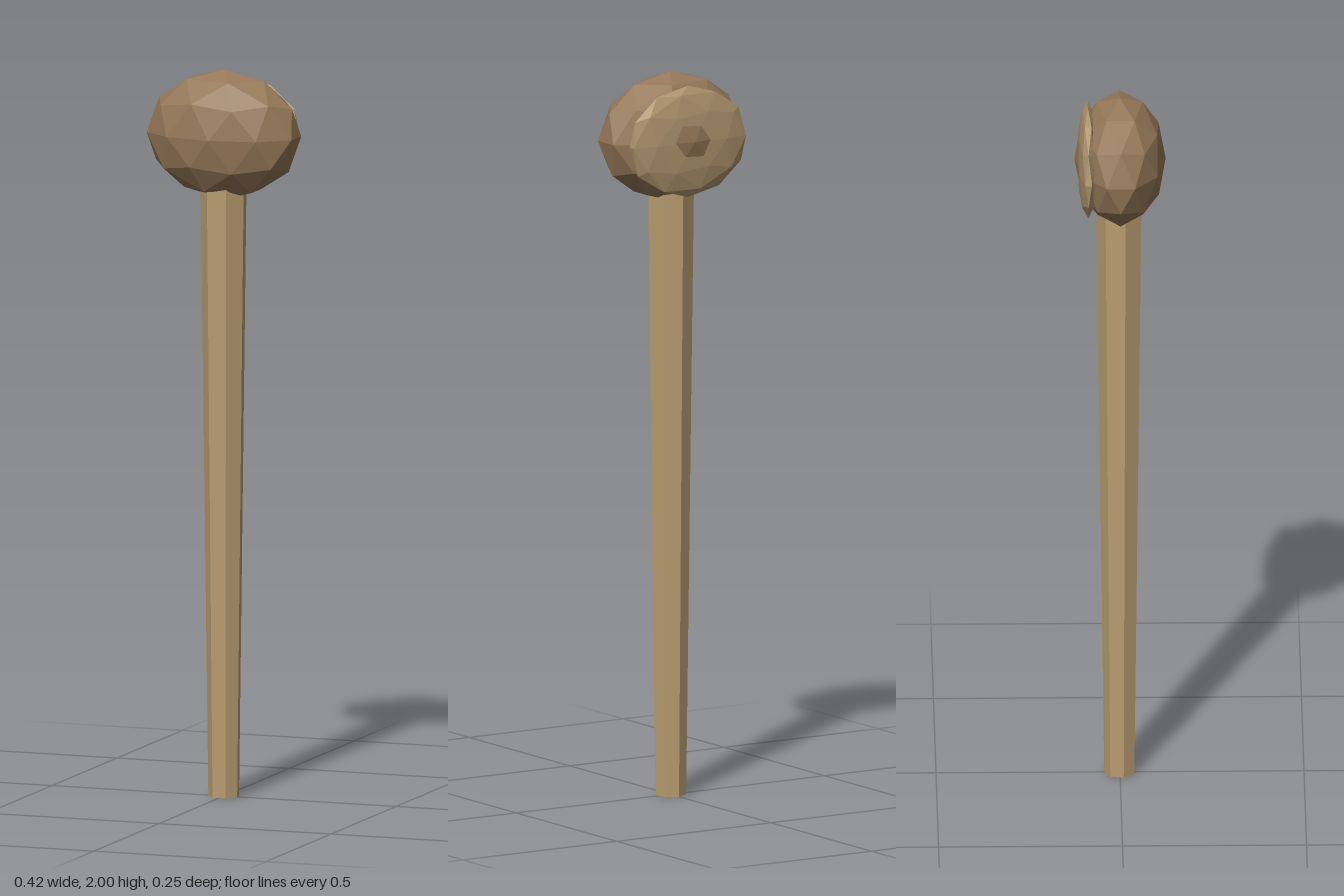
import * as THREE from 'three';

const material = (name, color) => {
  const m = new THREE.MeshStandardMaterial({ color, flatShading: true });
  m.name = name;
  return m;
};

// Faceted ball with a vertex pointing straight up, squashed to the given radii
function facetedBall(name, mat, radii, position) {
  const geometry = new THREE.IcosahedronGeometry(1, 1);
  geometry.rotateZ(-Math.atan(2 / (1 + Math.sqrt(5))));
  geometry.scale(...radii);
  geometry.computeVertexNormals();
  const mesh = new THREE.Mesh(geometry, mat);
  mesh.name = name;
  mesh.position.set(...position);
  return mesh;
}

export function createModel() {
  const group = new THREE.Group();
  group.name = 'roundHeadedStick';

  const handleMat = material('pale wood', 0xb89c70);
  const headMat = material('brown wood', 0x957858);
  const capMat = material('tan wood', 0xb0956e);

  // Seven-sided handle, wider at the top, flat side forward
  const height = 1.7;
  const shaft = new THREE.CylinderGeometry(0.0645, 0.043, height, 7);
  shaft.rotateY(Math.PI);
  const handle = new THREE.Mesh(shaft, handleMat);
  handle.name = 'handle';
  handle.position.y = height / 2;
  group.add(handle);

  // Flattened head, with a thin disc on its back that the head pokes through
  group.add(facetedBall('head', headMat, [0.2208, 0.178, 0.124], [0, 1.822, 0]));
  group.add(facetedBall('backDisc', capMat, [0.192, 0.154, 0.029], [0, 1.819, -0.0875]));

  return group;
}
